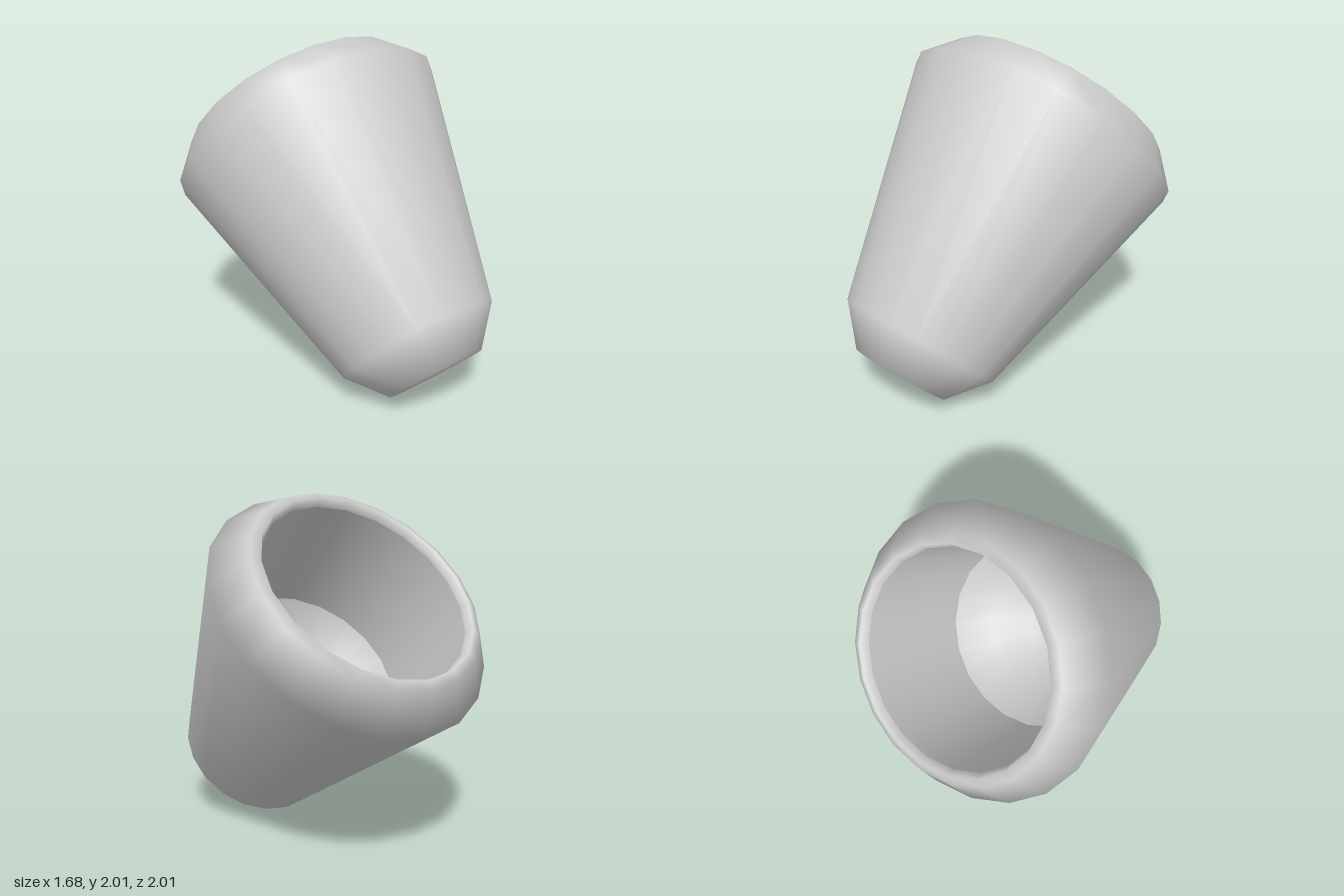
import * as THREE from 'three';

const SIDES = 20;

// Revolve a [radius, height] profile, with a flat facing each side
function turned(name, profile) {
  const points = profile.map(([r, h]) => new THREE.Vector2(r, h));
  const geometry = new THREE.LatheGeometry(points, SIDES, Math.PI / SIDES);
  const mesh = new THREE.Mesh(geometry, new THREE.MeshStandardMaterial({ color: 0xcccccc }));
  mesh.name = name;
  return mesh;
}

export function createModel() {
  const cup = new THREE.Group();
  cup.name = 'cup';

  // Tapered body with a rounded foot and a rolled rim
  cup.add(turned('outerShell', [
    [0, -1.145], [0.295, -1.135], [0.485, -0.916],
    [0.86, 0.52], [0.7, 0.725], [0.645, 0.745], [0.625, 0.69],
  ]));

  // Nearly straight bore
  cup.add(turned('innerWall', [[0.625, 0.69], [0.58, -0.07]]));

  // Concave floor
  cup.add(turned('floor', [[0.58, -0.07], [0.42, -0.28], [0.22, -0.4], [0, -0.43]]));

  // Lean the axis backwards and slightly to one side
  const axis = new THREE.Vector3(-0.197, 1, -1).normalize();
  const side = new THREE.Vector3(1, 0, 0).addScaledVector(axis, -axis.x).normalize();
  const front = new THREE.Vector3().crossVectors(side, axis);
  cup.quaternion.setFromRotationMatrix(new THREE.Matrix4().makeBasis(side, axis, front));
  cup.position.set(0.07, 1, 0);

  const model = new THREE.Group();
  model.name = 'tiltedCup';
  model.add(cup);
  return model;
}
